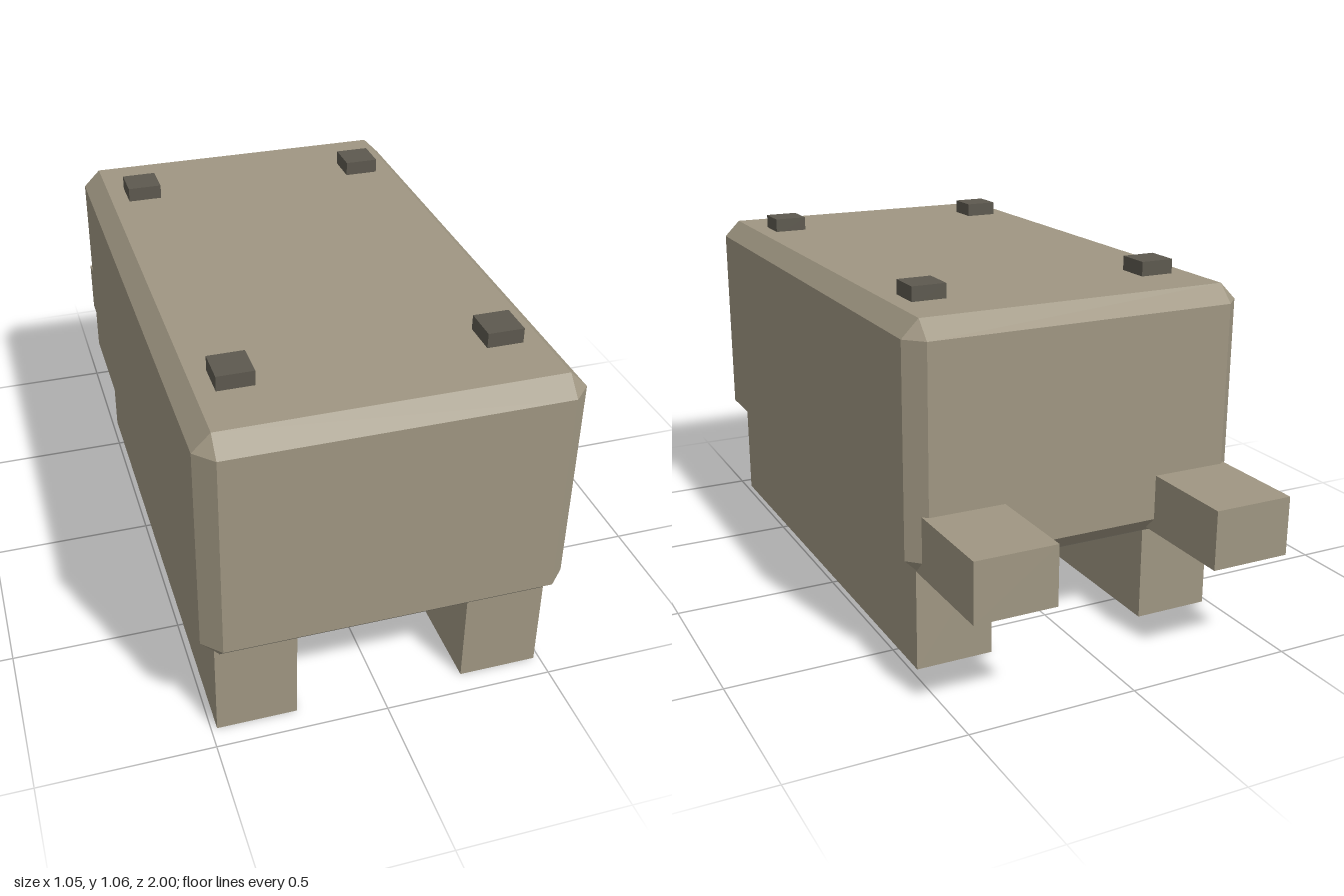
import * as THREE from 'three';
import { ConvexGeometry } from 'three/addons/geometries/ConvexGeometry.js';

// Box with every edge and corner cut at 45 degrees
function chamferedBox(w, h, d, c) {
  const points = [];
  for (const sx of [-1, 1]) for (const sy of [-1, 1]) for (const sz of [-1, 1]) {
    const x = w / 2, y = h / 2, z = d / 2;
    points.push(
      new THREE.Vector3(sx * x, sy * (y - c), sz * (z - c)),
      new THREE.Vector3(sx * (x - c), sy * y, sz * (z - c)),
      new THREE.Vector3(sx * (x - c), sy * (y - c), sz * z));
  }
  return new ConvexGeometry(points);
}

export function createModel() {
  const model = new THREE.Group();
  model.name = 'chamferedCase';
  const shell = new THREE.MeshStandardMaterial({ color: 0x9f9682 });
  shell.name = 'warmGrey';
  const dark = new THREE.MeshStandardMaterial({ color: 0x5d594f });
  dark.name = 'darkGrey';
  // Face order +x, -x, +y, -y, +z, -z: only the underside is dark
  const darkBelow = [shell, shell, shell, dark, shell, shell];

  // Box given by its lower and upper corners
  const addBox = (name, material, [x0, y0, z0], [x1, y1, z1]) => {
    const mesh = new THREE.Mesh(new THREE.BoxGeometry(x1 - x0, y1 - y0, z1 - z0), material);
    mesh.position.set((x0 + x1) / 2, (y0 + y1) / 2, (z0 + z1) / 2);
    mesh.name = name;
    model.add(mesh);
  };

  // Main body with a dark underside
  const body = new THREE.Mesh(chamferedBox(1.046, 0.72, 1.702, 0.051), shell);
  body.position.set(0, 0.655, 0.149);
  body.name = 'body';
  model.add(body);
  addBox('bodyUnderside', dark, [-0.472, 0.293, -0.651], [0.472, 0.297, 0.949]);

  for (const [side, s] of [['left', 1], ['right', -1]]) {
    const span = (a, b) => (s > 0 ? [a, b] : [-b, -a]);

    // Long runner under the body
    const [r0, r1] = span(0.25, 0.483);
    addBox(side + 'Runner', darkBelow, [r0, 0, -0.635], [r1, 0.32, 0.935]);

    // Block sticking out at the back
    const [b0, b1] = span(0.244, 0.487);
    addBox(side + 'RearBlock', darkBelow, [b0, 0.306, -1], [b1, 0.481, -0.63]);

    // Small studs on the lid
    const [t0, t1] = span(0.315, 0.418);
    addBox(side + 'RearStud', dark, [t0, 1.0, -0.482], [t1, 1.058, -0.379]);
    addBox(side + 'FrontStud', dark, [t0, 1.0, 0.676], [t1, 1.058, 0.779]);
  }
  return model;
}
